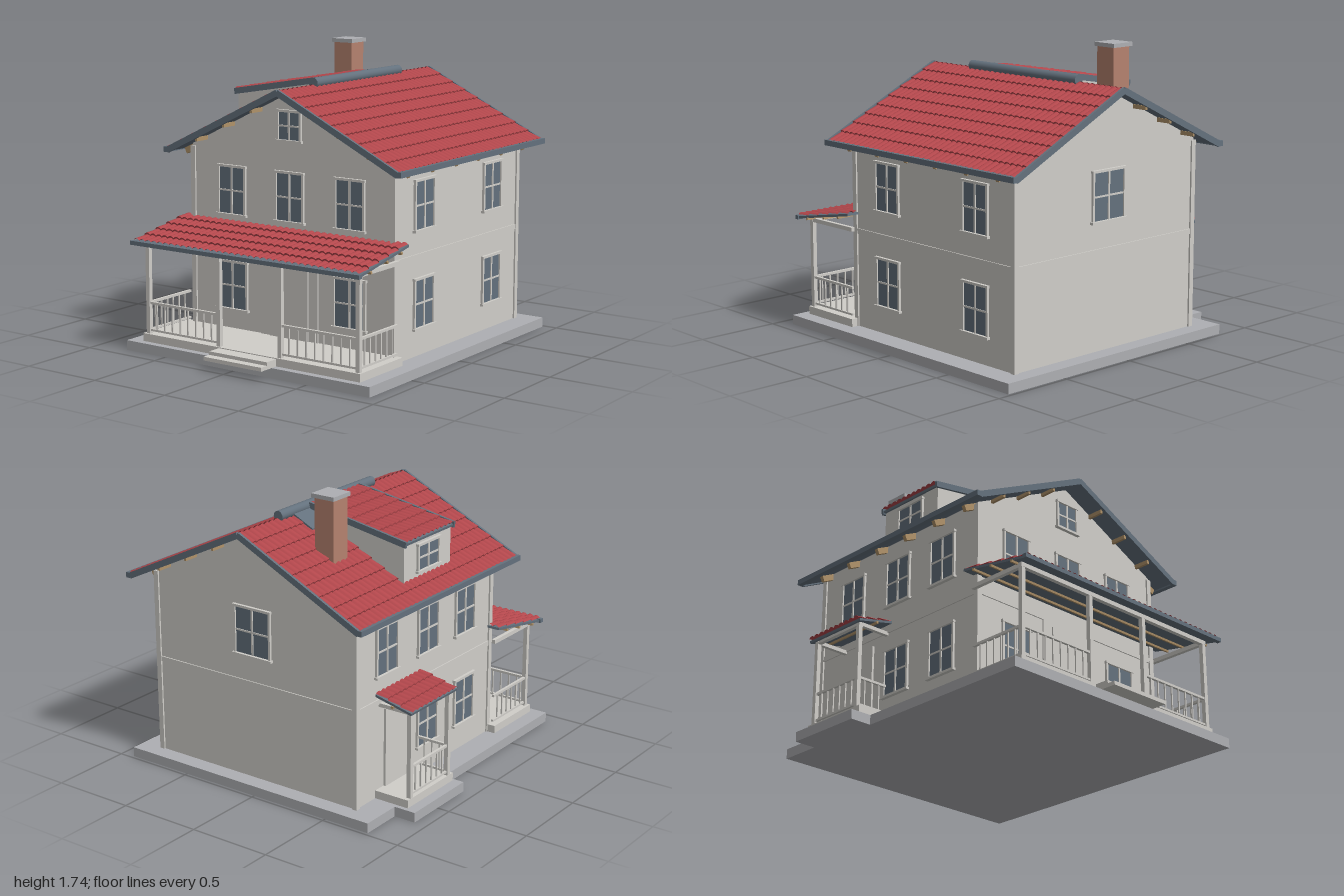
import * as THREE from 'three';
import { toCreasedNormals } from 'three/addons/utils/BufferGeometryUtils.js';

export function createModel() {
  const model = new THREE.Group();
  model.name = 'house';
  const mat = (name, color, side = THREE.FrontSide) => {
    const m = new THREE.MeshStandardMaterial({ color, side });
    m.name = name;
    return m;
  };
  const wall = mat('plaster', 0xd0cec9);
  const stone = mat('stone', 0xaeafb3);
  const slate = mat('slate', 0x64717d);
  const tile = mat('red tile', 0xb3474c, THREE.DoubleSide);
  const wood = mat('wood', 0xb0936a);
  const brick = mat('brick', 0xb5826f);

  const add = (parent, name, geometry, material) => {
    const m = new THREE.Mesh(geometry, material);
    m.name = name;
    parent.add(m);
    return m;
  };
  // box given by its lower and upper limits on each axis
  const box = (parent, name, material, x0, x1, y0, y1, z0, z1) => {
    const m = add(parent, name, new THREE.BoxGeometry(x1 - x0, y1 - y0, z1 - z0), material);
    m.position.set((x0 + x1) / 2, (y0 + y1) / 2, (z0 + z1) / 2);
    return m;
  };
  const prism = (parent, name, material, pts, z0, z1) => {
    const shape = new THREE.Shape(pts.map(p => new THREE.Vector2(...p)));
    const g = new THREE.ExtrudeGeometry(shape, { depth: z1 - z0, bevelEnabled: false });
    return add(parent, name, g.translate(0, 0, z0), material);
  };

  // Wavy overlapping tile courses: x along the eave, z down the slope
  function tileGeometry(length, slope) {
    const rows = Math.round(slope / 0.1), cols = Math.round(length / 0.044), n = cols * 6;
    const pos = [], idx = [];
    for (let r = 0; r < rows; r++) {
      for (const [v, lift] of [[r, 0.001], [r + 1, 0.011]]) {
        for (let i = 0; i <= n; i++) {
          const wave = 0.011 * Math.pow(Math.abs(Math.sin((i / 6) * Math.PI)), 0.8);
          pos.push((i / n - 0.5) * length, lift + wave, (v / rows) * slope);
        }
      }
    }
    for (let k = 0; k < rows * 2 - 1; k++) {
      for (let i = 0; i < n; i++) {
        const a = k * (n + 1) + i, b = a + n + 1;
        idx.push(a, b, a + 1, a + 1, b, b + 1);
      }
    }
    const g = new THREE.BufferGeometry();
    g.setAttribute('position', new THREE.Float32BufferAttribute(pos, 3));
    g.setIndex(idx);
    g.computeVertexNormals();
    return toCreasedNormals(g, 0.75);
  }

  // One roof slope hung from the middle of its top edge
  function roofSlope(name, top, yaw, run, drop, length, opt = {}) {
    const g = new THREE.Group();
    const s = Math.hypot(run, drop), h = length / 2;
    g.name = name;
    g.position.set(...top);
    g.rotation.set(Math.atan2(drop, run), yaw, 0, 'YXZ');
    add(g, 'tiles', tileGeometry(length - 0.02, s), tile);
    box(g, 'deck', slate, -h + 0.005, h - 0.005, -0.014, 0, 0, s - 0.005);
    if (opt.barge) {
      for (const e of [-h, h - 0.016]) box(g, 'bargeBoard', slate, e, e + 0.016, -0.022, 0.014, 0, s);
    }
    for (const v of opt.purlins || []) box(g, 'purlin', wood, -h - 0.004, h + 0.004, -0.026, -0.012, v, v + 0.014);
    for (const u of opt.rafters || []) {
      box(g, 'rafter', wood, u - 0.012, u + 0.012, -0.05, -0.014, s - 0.2, s - 0.01);
    }
    model.add(g);
    return g;
  }

  // Four-pane window facing +z before it is turned
  function window4(name, x, y, z, yaw, w, h) {
    const g = new THREE.Group();
    g.name = name;
    g.position.set(x, y, z);
    g.rotation.y = yaw;
    const f = 0.014, a = w / 2, b = h / 2;
    box(g, 'glass', slate, -a + f, a - f, -b + f, b - f, 0, 0.005);
    for (const e of [-a, a - f]) box(g, 'jamb', wall, e, e + f, -b, b, 0, 0.014);
    box(g, 'head', wall, -a - 0.004, a + 0.004, b - f, b, 0, 0.018);
    box(g, 'sill', wall, -a - 0.008, a + 0.008, -b, -b + f, 0, 0.022);
    box(g, 'mullion', wall, -0.006, 0.006, -b + f, b - f, 0, 0.011);
    box(g, 'glazingBar', wall, -a + f, a - f, -0.005, 0.005, 0, 0.01);
    model.add(g);
  }

  // Railing between two points at deck level
  function railing(x0, z0, x1, z1) {
    const g = new THREE.Group();
    g.name = 'railing';
    const len = Math.hypot(x1 - x0, z1 - z0), n = Math.round(len / 0.055);
    g.position.set(x0, 0, z0);
    g.rotation.y = -Math.atan2(z1 - z0, x1 - x0);
    box(g, 'topRail', wall, 0, len, 0.28, 0.294, -0.008, 0.008);
    box(g, 'bottomRail', wall, 0, len, 0.12, 0.132, -0.007, 0.007);
    for (let i = 1; i < n; i++) {
      const u = (i / n) * len;
      box(g, 'baluster', wall, u - 0.004, u + 0.004, 0.13, 0.282, -0.004, 0.004);
    }
    model.add(g);
  }
  const post = (x, z, top) => box(model, 'post', wall, x - 0.013, x + 0.013, 0.1, top, z - 0.013, z + 0.013);

  const CX = 0.067, L = -0.64, R = 0.775, F = 0.465, B = -0.88;

  // Foundation, decks and steps
  box(model, 'foundation', stone, -0.79, 0.915, 0, 0.058, -0.98, 0.908);
  box(model, 'sideFoundation', stone, -0.923, -0.78, 0, 0.058, -0.725, -0.235);
  box(model, 'frontDeck', wall, -0.7, 0.825, 0.055, 0.105, 0.45, 0.865);
  box(model, 'sideDeck', wall, -0.86, -0.63, 0.055, 0.105, -0.7, -0.25);
  box(model, 'lowerStep', wall, -0.14, 0.265, 0.058, 0.08, 0.85, 1);
  box(model, 'upperStep', wall, -0.14, 0.265, 0.078, 0.1, 0.85, 0.95);

  // Walls with gables, belt and corner boards
  prism(model, 'walls', wall, [[L, 0.05], [R, 0.05], [R, 1.178], [CX, 1.522], [L, 1.178]], B, F);
  box(model, 'belt', wall, L - 0.007, R + 0.007, 0.614, 0.645, B - 0.007, F + 0.007);
  for (const x of [L, R]) {
    for (const z of [B, F]) {
      const sx = x === L ? -0.01 : -0.022, sz = z === B ? -0.01 : -0.022;
      box(model, 'cornerBoard', wall, x + sx, x + sx + 0.032, 0.055, 1.165, z + sz, z + sz + 0.032);
    }
  }

  // Windows
  for (const dx of [-0.415, 0, 0.415]) window4('upperFrontWindow', CX + dx, 0.925, F, 0, 0.205, 0.3);
  for (const dx of [-0.415, 0.415]) window4('lowerFrontWindow', CX + dx, 0.362, F, 0, 0.225, 0.3);
  window4('atticWindow', CX, 1.333, F, 0, 0.17, 0.185);
  window4('backWindow', CX, 0.94, B, Math.PI, 0.26, 0.3);
  for (const y of [0.92, 0.36]) {
    for (const z of [0.168, -0.575]) window4('leftWindow', R, y, z, Math.PI / 2, 0.21, 0.3);
    for (const z of [0.18, -0.2]) window4('rightWindow', L, y, z, -Math.PI / 2, 0.21, 0.3);
  }
  window4('rightWindow', L, 0.92, -0.6, -Math.PI / 2, 0.21, 0.3);
  window4('dormerWindow', -0.6, 1.335, -0.15, -Math.PI / 2, 0.22, 0.17);

  // Doors
  box(model, 'frontDoorFrame', wall, -0.14, 0.265, 0.1, 0.615, F, F + 0.008);
  box(model, 'frontDoor', wall, -0.07, 0.2, 0.105, 0.587, F, F + 0.016);
  box(model, 'sideDoor', wall, L - 0.014, L, 0.105, 0.57, -0.62, -0.4);

  // Main roof, ridge cap and gutters
  const rafters = [0.43, 0.18, -0.07, -0.315, -0.57, -0.82];
  for (const s of [-1, 1]) {
    roofSlope('mainRoof', [CX, 1.537, -0.205], s * Math.PI / 2, 0.805, 0.39, 1.588, {
      barge: true, rafters: rafters.map(z => -s * (z + 0.205)),
    });
    const x = CX + s * 0.814;
    box(model, 'gutter', slate, x - 0.015, x + 0.015, 1.13, 1.162, -0.999, 0.589);
    // purlin ends under the gable overhangs
    for (const d of [0.2, 0.4, 0.6]) {
      box(model, 'purlin', wood, CX + s * d - 0.008, CX + s * d + 0.008,
        1.499 - d * 0.485, 1.523 - d * 0.485, -0.975, 0.565);
    }
  }
  const cap = add(model, 'ridgeCap', new THREE.CylinderGeometry(0.031, 0.031, 0.88, 16), slate);
  cap.rotation.x = Math.PI / 2;
  cap.position.set(0.064, 1.555, -0.205);

  // Dormer with flashing beside it
  prism(model, 'dormerWalls', wall, [[-0.6, 1.2], [0.03, 1.49], [0.03, 1.56], [-0.6, 1.448]], -0.38, 0.08);
  roofSlope('dormerRoof', [0.042, 1.568, -0.151], -Math.PI / 2, 0.664, 0.115, 0.492, { barge: true });
  prism(model, 'flashing', slate, [[-0.095, 1.474], [0.042, 1.541], [0.042, 1.552], [-0.095, 1.485]], -0.54, 0.13);

  // Chimney
  box(model, 'chimney', brick, -0.328, -0.2, 1.3, 1.716, -0.658, -0.53);
  box(model, 'chimneyCap', stone, -0.34, -0.188, 1.714, 1.737, -0.672, -0.52);

  // Front porch
  roofSlope('porchRoof', [0.067, 0.742, 0.44], 0, 0.475, 0.088, 1.585, { purlins: [0.08, 0.22, 0.38] });
  box(model, 'porchGutter', slate, -0.73, 0.862, 0.636, 0.66, 0.905, 0.933);
  box(model, 'porchBeam', wall, -0.685, 0.815, 0.626, 0.652, 0.828, 0.854);
  for (const x of [-0.671, -0.152, 0.278, 0.8]) post(x, 0.84, 0.63);
  railing(-0.671, 0.84, -0.152, 0.84);
  railing(0.278, 0.84, 0.8, 0.84);
  for (const x of [-0.671, 0.8]) {
    railing(x, 0.47, x, 0.84);
    box(model, 'sideBeam', wall, x - 0.012, x + 0.012, 0.626, 0.65, 0.46, 0.84);
  }

  // Side porch
  roofSlope('sidePorchRoof', [-0.635, 0.682, -0.475], -Math.PI / 2, 0.248, 0.058, 0.46, { purlins: [0.12] });
  for (const z of [-0.66, -0.29]) {
    post(-0.845, z, 0.62);
    box(model, 'sidePorchBeam', wall, -0.858, -0.64, 0.6, 0.622, z - 0.012, z + 0.012);
  }
  box(model, 'sidePorchBeam', wall, -0.857, -0.833, 0.6, 0.622, -0.66, -0.29);
  railing(-0.845, -0.66, -0.845, -0.29);
  railing(-0.845, -0.29, -0.64, -0.29);
  return model;
}
